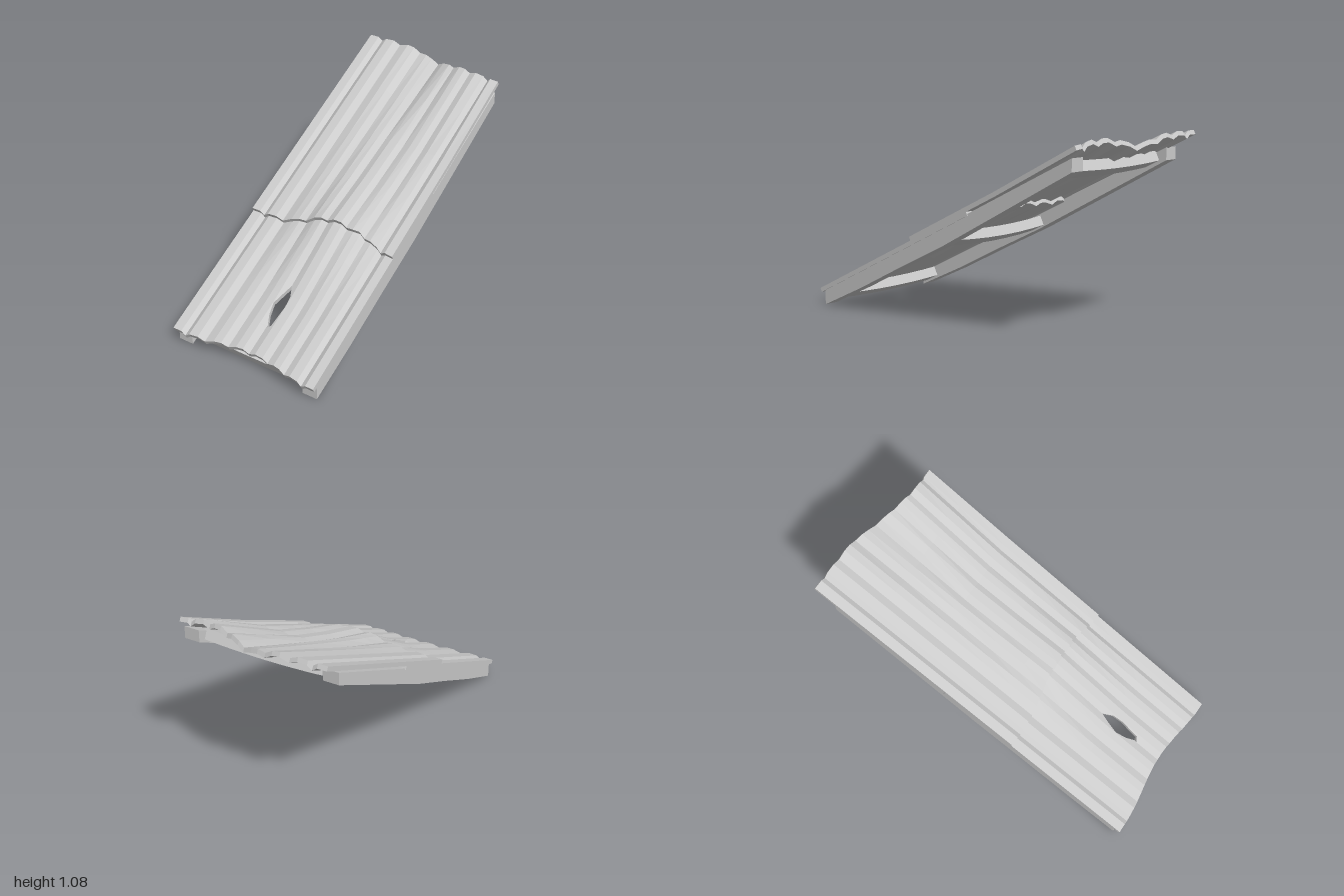
import * as THREE from 'three';

const SLOPE = 0.482, ANGLE = Math.atan(SLOPE), THICK = 0.025;
const LOW = -0.016; // depth of a corrugation valley

// Corrugation across the sheet: [x, offset]
const PROFILE = [
  [-0.465, 0], [-0.41, 0], [-0.383, -0.02], [-0.355, 0], [-0.3, 0.003], [-0.255, LOW], [-0.2, 0], [-0.155, 0.001],
  [-0.112, LOW], [-0.063, 0], [-0.02, 0.001], [0.02, LOW], [0.06, 0], [0.11, 0], [0.145, LOW], [0.19, 0],
  [0.23, 0], [0.265, LOW], [0.305, 0], [0.355, -0.002], [0.382, -0.022], [0.41, -0.003], [0.46, -0.003],
];
const SEAM = 11; // valley column where the hole opens

// Bend of the top end across x, and strength of the overlap hump along z
const TOP_BEND = [[-0.2, 0], [-0.1, -0.015], [0, -0.032], [0.07, -0.01], [0.13, 0.015], [0.2, 0.033], [0.31, 0.037], [0.37, 0.025], [0.46, 0.015]];
const HUMP = [[-0.37, 0], [-0.1, 0.35], [0.22, 1], [0.36, 0.65], [0.65, 0]];
// Ragged top edge: [x, z]
const TOP_EDGE = [[-0.465, -0.988], [-0.12, -0.988], [0, -0.965], [0.1, -0.93], [0.2, -0.905], [0.3, -0.893], [0.46, -0.9]];
// Hole outline: [z, left x, right x]
const HOLE = [[0.805, 0.02, 0.02], [0.79, 0.022, 0.045], [0.74, -0.003, 0.051], [0.68, -0.017, 0.058], [0.62, 0, 0.052], [0.56, 0.02, 0.02]];

function lerpTable(table, v) {
  if (v <= table[0][0]) return table[0][1];
  for (let i = 1; i < table.length; i++) {
    const [a, fa] = table[i - 1], [b, fb] = table[i];
    if (v <= b) return fa + (fb - fa) * (v - a) / (b - a);
  }
  return table[table.length - 1][1];
}

const bump = (x, centre, half) => {
  const t = (x - centre) / half;
  return Math.abs(t) < 1 ? Math.cos(t * Math.PI / 2) ** 2 : 0;
};

function height(x, z, lift) {
  const end = THREE.MathUtils.clamp((-0.37 - z) / 0.53, 0, 1.05);
  return 0.1 + lift + SLOPE * (1 - z) + lerpTable(PROFILE, x)
    + 0.06 * bump(x, 0.08, 0.36) * lerpTable(HUMP, z) + end * lerpTable(TOP_BEND, x);
}

// Corrugated slab; rows run from front to back, each a z value or a function of x
function sheet(name, rows, lift, material, hole = []) {
  const pos = [];
  const quad = (a, b, c, d) => [a, b, c, a, c, d].forEach((p) => pos.push(...p));
  const ny = Math.cos(ANGLE) * THICK, nz = Math.sin(ANGLE) * THICK;
  const strips = [PROFILE.slice(0, SEAM + 1), PROFILE.slice(SEAM)];
  strips.forEach((cols, side) => {
    const last = cols.length - 1, seam = side ? 0 : last;
    const top = rows.map((row) => cols.map(([x0], c) => {
      const cut = c === seam && hole.find((h) => h[0] === row);
      const x = cut ? cut[1 + side] : x0;
      const z = typeof row === 'function' ? row(x) : row;
      // the sheet skews slightly to the right near its top end
      const skew = x > 0 && x < 0.4 ? 0.012 * THREE.MathUtils.clamp((-0.37 - z) / 0.55, 0, 1) : 0;
      return [x + skew, height(x, z, lift), z];
    }));
    const under = top.map((r) => r.map(([x, y, z]) => [x, y - ny, z - nz]));
    const end = rows.length - 1;
    for (let c = 0; c < last; c++) {
      for (let r = 0; r < end; r++) {
        quad(top[r][c], top[r][c + 1], top[r + 1][c + 1], top[r + 1][c]);
        quad(under[r][c], under[r + 1][c], under[r + 1][c + 1], under[r][c + 1]);
      }
      quad(under[0][c], under[0][c + 1], top[0][c + 1], top[0][c]);
      quad(under[end][c + 1], under[end][c], top[end][c], top[end][c + 1]);
    }
    // side walls; along the seam only where the hole is open
    for (let r = 0; r < end; r++) {
      const open = hole.some((h) => h[0] === rows[r]) && hole.some((h) => h[0] === rows[r + 1]);
      if (side === 1 || open) quad(under[r][last], under[r + 1][last], top[r + 1][last], top[r][last]);
      if (side === 0 || open) quad(under[r + 1][0], under[r][0], top[r][0], top[r + 1][0]);
    }
  });
  const geo = new THREE.BufferGeometry();
  geo.setAttribute('position', new THREE.Float32BufferAttribute(pos, 3));
  geo.computeVertexNormals();
  const mesh = new THREE.Mesh(geo, material);
  mesh.name = name;
  return mesh;
}

// Side rail: bowed side outline extruded across its width
function rail(name, x, material) {
  const pts = [[0.96, 0.003], [0.65, 0.143], [0.32, 0.305], [0, 0.457], [-0.88, 0.92], [-0.88, 0.99], [0.96, 0.094]];
  const shape = new THREE.Shape(pts.map(([z, y]) => new THREE.Vector2(-z, y)));
  const geo = new THREE.ExtrudeGeometry(shape, { depth: 0.09, bevelEnabled: false });
  geo.translate(0, 0, -0.045).rotateY(Math.PI / 2);
  const mesh = new THREE.Mesh(geo, material);
  mesh.name = name;
  mesh.position.x = x;
  return mesh;
}

// Sagging cross beam lying along the slope
function crossBeam(name, y, z, sag, material) {
  const w = 0.38, h = 0.058, shape = new THREE.Shape();
  const n = 6, curve = (x) => -sag * (1 - (x / w) ** 2);
  for (let i = 0; i <= n; i++) {
    const x = -w + 2 * w * i / n;
    if (i) shape.lineTo(x, curve(x)); else shape.moveTo(x, curve(x));
  }
  for (let i = n; i >= 0; i--) {
    const x = -w + 2 * w * i / n;
    shape.lineTo(x, h + curve(x));
  }
  const geo = new THREE.ExtrudeGeometry(shape, { depth: 0.1, bevelEnabled: false });
  geo.translate(0, 0, -0.05);
  const mesh = new THREE.Mesh(geo, material);
  mesh.name = name;
  mesh.position.set(0, y, z);
  mesh.rotation.x = ANGLE;
  return mesh;
}

export function createModel() {
  const group = new THREE.Group();
  group.name = 'corrugatedRoof';
  const material = new THREE.MeshStandardMaterial({ color: 0xcccccc, flatShading: true });

  // Overlapping sheets
  const lowerFront = (x) => 1 - 0.042 * bump(x, 0.03, 0.42);
  const upperFront = (x) => 0.262 - 0.05 * bump(x, 0.08, 0.42) - (x > 0.2 ? 0.015 : 0);
  const upperBack = (x) => lerpTable(TOP_EDGE, x);
  group.add(sheet('lowerSheet', [lowerFront, ...HOLE.map((h) => h[0]), 0.36, 0.22, -0.1, -0.18], 0, material, HOLE));
  group.add(sheet('upperSheet', [upperFront, 0.08, -0.1, -0.37, -0.67, upperBack], 0.025, material));

  // Timber frame
  group.add(rail('leftRail', 0.411, material), rail('rightRail', -0.414, material));
  group.add(crossBeam('frontCrossBeam', 0.055, 0.88, 0.012, material));
  group.add(crossBeam('middleCrossBeam', 0.465, 0.01, 0.018, material));
  group.add(crossBeam('backCrossBeam', 0.895, -0.79, 0.012, material));
  return group;
}
